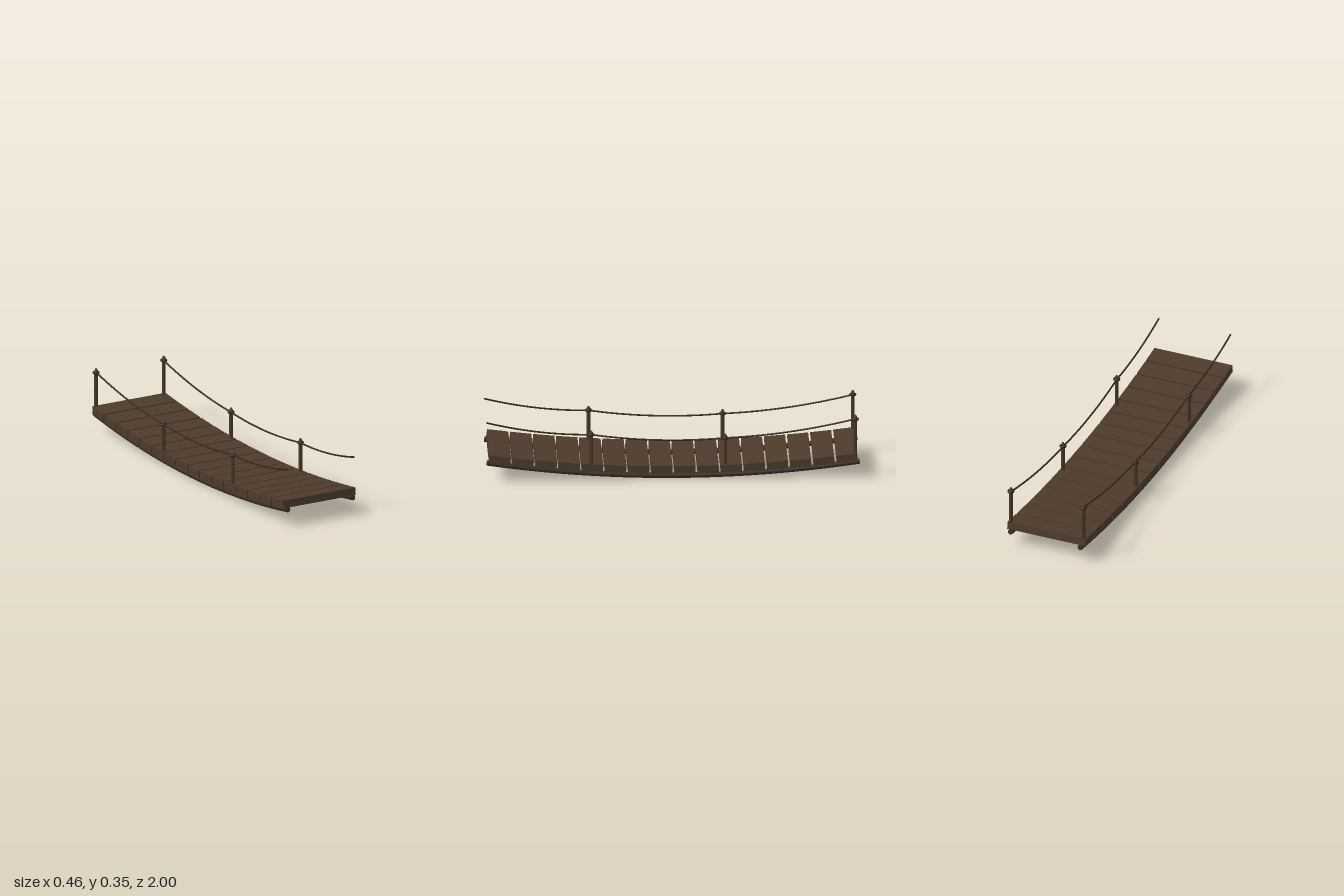
import * as THREE from 'three';

const plankWood = new THREE.MeshStandardMaterial({ color: 0x4d3b2c });
plankWood.name = 'plank wood';
const postWood = new THREE.MeshStandardMaterial({ color: 0x493828 });
postWood.name = 'post wood';
const beamWood = new THREE.MeshStandardMaterial({ color: 0x3c2f23 });
beamWood.name = 'beam wood';
const ropeFibre = new THREE.MeshStandardMaterial({ color: 0x34281d });
ropeFibre.name = 'rope';

// faceted normals
function faceted(geometry) {
  const g = geometry.index ? geometry.toNonIndexed() : geometry;
  g.computeVertexNormals();
  return g;
}

function add(parent, name, geometry, material) {
  const mesh = new THREE.Mesh(geometry, material);
  mesh.name = name;
  parent.add(mesh);
  return mesh;
}

// tube along a curve with a flat cap at both ends
function cappedTube(parent, name, points, radius, sides, material) {
  const curve = new THREE.CatmullRomCurve3(points);
  const group = new THREE.Group();
  group.name = name;
  add(group, name + 'Body', new THREE.TubeGeometry(curve, points.length * 2, radius, sides), material);
  for (const t of [0, 1]) {
    const cap = add(group, name + 'Cap', new THREE.CircleGeometry(radius, sides), material);
    const out = curve.getTangent(t).multiplyScalar(t ? 1 : -1);
    cap.position.copy(curve.getPoint(t));
    cap.quaternion.setFromUnitVectors(new THREE.Vector3(0, 0, 1), out);
  }
  parent.add(group);
}

// sagging heights of the beams and of the deck
const LOW = -0.036;
const beamY = z => 0.0168 + 0.0754 * (z - LOW) ** 2;
const deckY = z => 0.055 + 0.0681 * (z - LOW) ** 2;

export function createModel() {
  const model = new THREE.Group();
  model.name = 'ropeBridge';

  // deck planks, each tilted along the sag
  const count = 16, reach = 0.9275;
  for (let i = 0; i < count; i++) {
    const z = -reach + (2 * reach * i) / (count - 1);
    const plank = add(model, 'plank', new THREE.BoxGeometry(0.454, 0.042, 0.114), plankWood);
    plank.position.set(0, deckY(z), z);
    plank.rotation.x = -Math.atan(2 * 0.0681 * (z - LOW));
  }

  // post position z and knot height
  const posts = [[0.44, 0.252], [-0.277, 0.226], [-0.973, 0.325]];
  // hand rope stations with the sag of the span that follows
  const stations = [[0.998, 0.324, 0.018], [0.44, 0.252, 0.021], [-0.277, 0.226, 0.018], [-0.973, 0.325, 0]];

  for (const side of [-1, 1]) {
    const rail = new THREE.Group();
    rail.name = side > 0 ? 'leftSide' : 'rightSide';
    model.add(rail);

    // support beam under the deck
    const beam = [];
    for (let i = 0; i <= 16; i++) {
      const z = 0.997 - (1.994 * i) / 16;
      beam.push(new THREE.Vector3(side * 0.203, beamY(z), z));
    }
    cappedTube(rail, 'beam', beam, 0.0148, 12, beamWood);

    // posts with a pointed top and a rope ring
    for (const [z, knot] of posts) {
      const profile = [
        [0, deckY(z)], [0.0105, deckY(z)], [0.0105, knot + 0.012], [0.005, knot + 0.023], [0, knot + 0.025],
      ].map(([r, y]) => new THREE.Vector2(r, y));
      const post = add(rail, 'post', faceted(new THREE.LatheGeometry(profile, 8, Math.PI / 8)), postWood);
      post.position.set(side * 0.211, 0, z);

      const ring = add(rail, 'knot', new THREE.TorusGeometry(0.0122, 0.0075, 8, 12), ropeFibre);
      ring.rotation.x = Math.PI / 2;
      ring.position.set(side * 0.211, knot, z);
    }

    // hand rope sagging between the posts
    for (let s = 0; s < 3; s++) {
      const [z0, y0, sag] = stations[s], [z1, y1] = stations[s + 1];
      const points = [];
      for (let i = 0; i <= 10; i++) {
        const t = i / 10;
        const y = y0 + (y1 - y0) * t - sag * 4 * t * (1 - t);
        points.push(new THREE.Vector3(side * 0.209, y, z0 + (z1 - z0) * t));
      }
      cappedTube(rail, 'handRope', points, 0.0047, 8, ropeFibre);
    }
  }
  return model;
}
